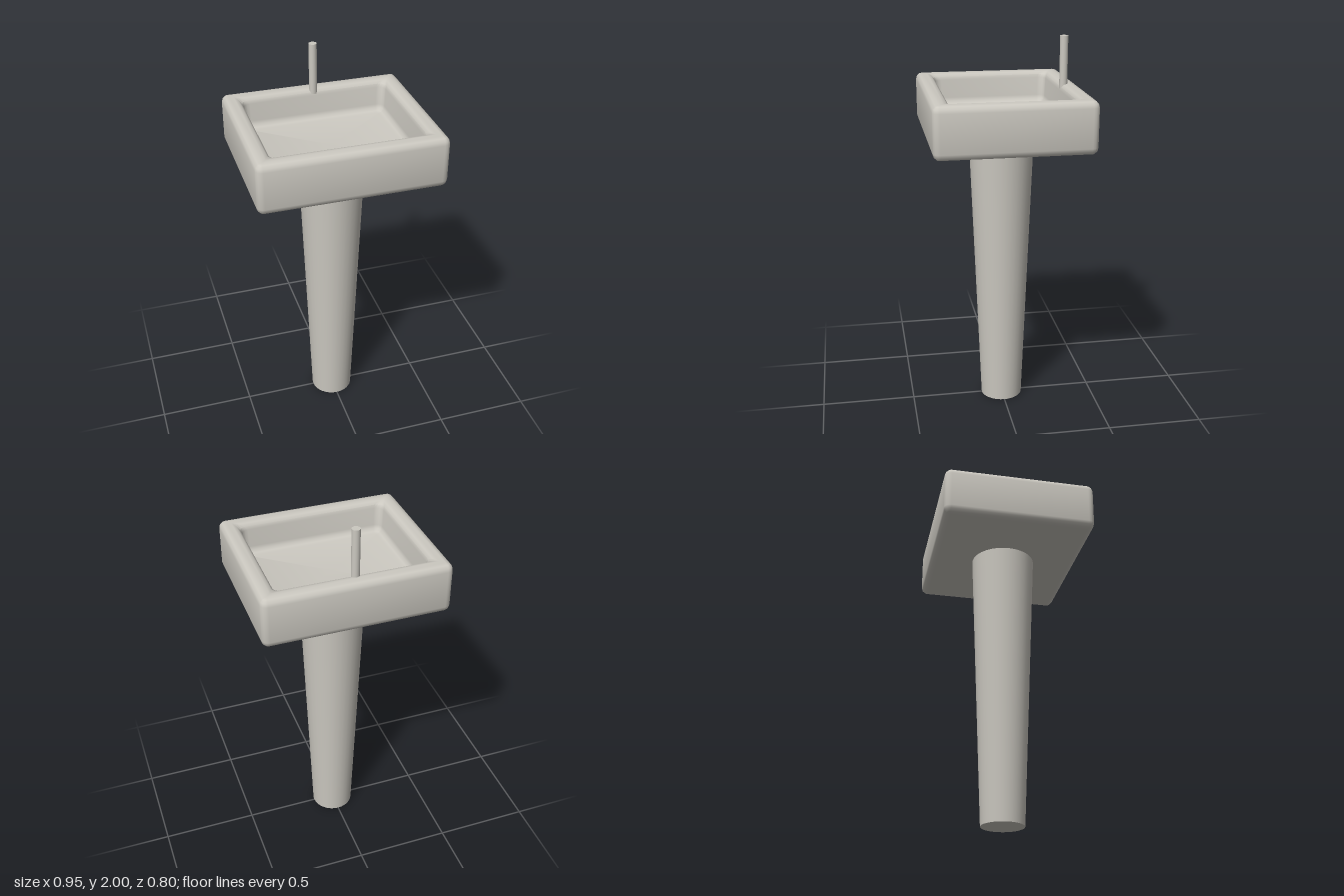
import * as THREE from 'three';
import { toCreasedNormals } from 'three/addons/utils/BufferGeometryUtils.js';

const CORNER = 4; // segments per rounded corner

// One rounded rectangle: half width, half depth, corner radius, height
function ring(hx, hz, r, y) {
  const points = [];
  for (let q = 0; q < 4; q++) {
    const sx = q === 0 || q === 3 ? 1 : -1;
    const sz = q < 2 ? 1 : -1;
    for (let i = 0; i <= CORNER; i++) {
      const a = (q + i / CORNER) * Math.PI / 2;
      points.push(sx * (hx - r) + r * Math.cos(a), y, sz * (hz - r) + r * Math.sin(a));
    }
  }
  return points;
}

// Skin a stack of rings, running up the outside and down the inside
function loft(rings) {
  const n = 4 * (CORNER + 1);
  const index = [];
  for (let i = 0; i < rings.length - 1; i++) {
    for (let j = 0; j < n; j++) {
      const a = i * n + j, b = i * n + (j + 1) % n;
      index.push(a, a + n, b, b, a + n, b + n);
    }
  }
  const geometry = new THREE.BufferGeometry();
  geometry.setAttribute('position', new THREE.Float32BufferAttribute(rings.flat(), 3));
  geometry.setIndex(index);
  return toCreasedNormals(geometry, 0.65);
}

function basinGeometry() {
  const W = 0.475, D = 0.4, R = 0.035, bottom = 1.49, top = 1.755, floor = 1.59;
  const rings = [ring(0, 0, 0, bottom)];
  const add = (inset, r, y) => rings.push(ring(W - inset, D - inset, r, y));
  const arc = (start, fn) => {
    for (let i = 0; i <= 3; i++) {
      const a = start + i * Math.PI / 6;
      fn(Math.cos(a), Math.sin(a));
    }
  };
  // outer bottom edge, outer top edge
  arc(-Math.PI / 2, (c, s) => add(R - R * c, Math.max(R * c, 0.001), bottom + R + R * s));
  arc(0, (c, s) => add(R - R * c, Math.max(R * c, 0.001), top - R + R * s));
  // inner lip, then the fillet at the basin floor
  arc(0, (c, s) => add(0.058 + R * s, 0.002 + 0.038 * s, top - R + R * c));
  arc(0, (c, s) => add(0.098 + R * (1 - c), 0.038 - 0.03 * (1 - c), floor + R - R * s));
  rings.push(ring(0, 0, 0, floor));
  return loft(rings);
}

export function createModel() {
  const group = new THREE.Group();
  const ceramic = new THREE.MeshStandardMaterial({ color: 0xcbc8c0 });
  ceramic.name = 'warm grey ceramic';

  const part = (name, geometry, y = 0, z = 0) => {
    const mesh = new THREE.Mesh(geometry, ceramic);
    mesh.name = name;
    mesh.position.set(0, y, z);
    group.add(mesh);
  };

  part('basin', basinGeometry());
  // tapered column, wider under the basin
  part('pedestal', new THREE.CylinderGeometry(0.17, 0.112, 1.495, 32), 0.7475);
  // upright tap at the back rim
  part('tap', new THREE.CylinderGeometry(0.021, 0.021, 0.27, 20), 1.865, -0.325);
  return group;
}
